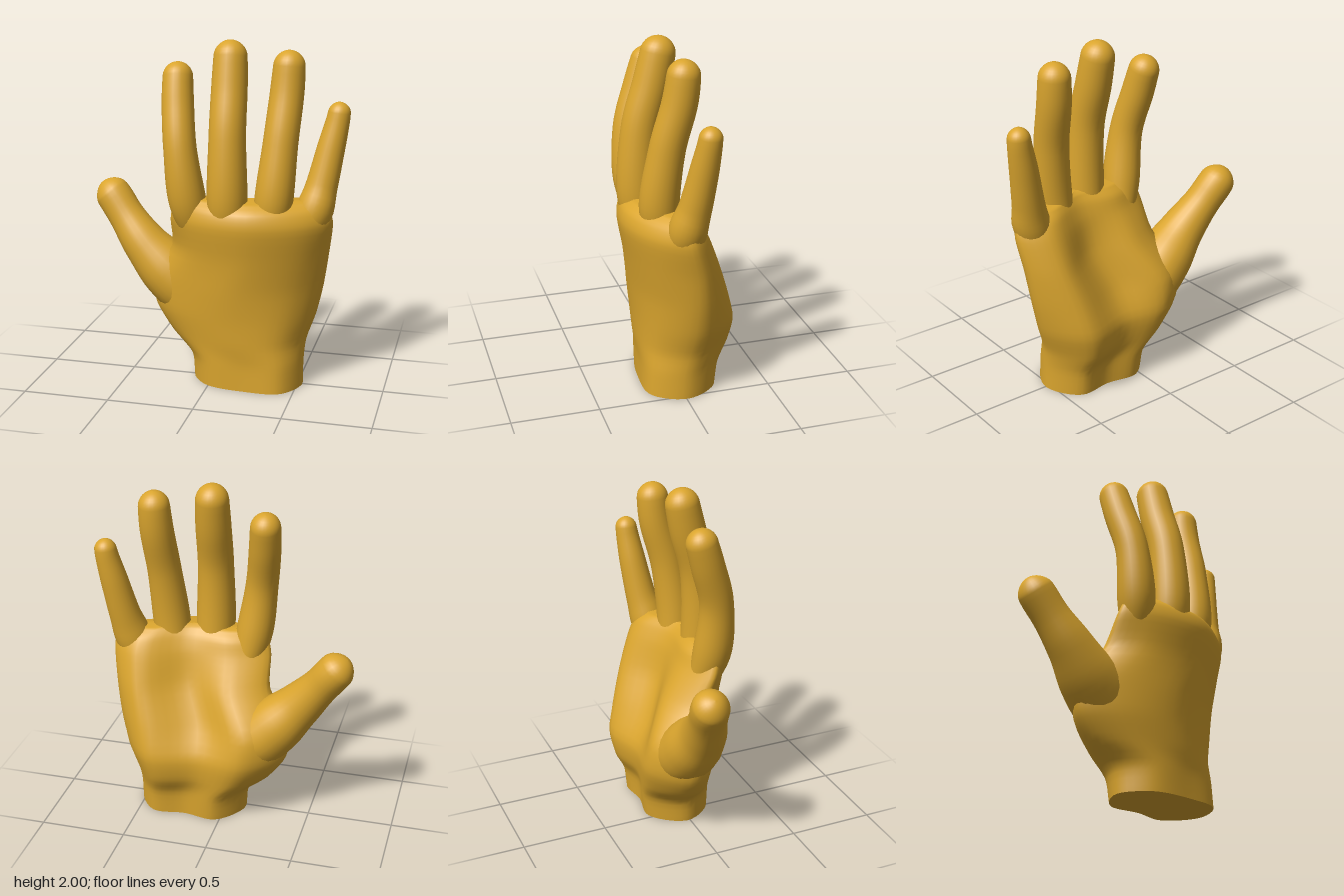
import * as THREE from 'three';

const V = (x, y, z) => new THREE.Vector3(x, y, z);

// Skin a list of closed rings (counter-clockwise about the direction of travel)
function loft(rings) {
  const n = rings[0].length, pos = [], idx = [];
  rings.forEach(r => r.forEach(p => pos.push(p.x, p.y, p.z)));
  for (let i = 0; i < rings.length - 1; i++) {
    for (let j = 0; j < n; j++) {
      const k = (j + 1) % n;
      const a = i * n + j, b = i * n + k, c = a + n, d = b + n;
      idx.push(a, b, d, a, d, c);
    }
  }
  const g = new THREE.BufferGeometry();
  g.setAttribute('position', new THREE.Float32BufferAttribute(pos, 3));
  g.setIndex(idx);
  g.computeVertexNormals();
  return g;
}

// Ring shrunk to its own centre
function collapsed(ring, lift = 0) {
  const c = V(0, 0, 0);
  ring.forEach(p => c.add(p));
  c.divideScalar(ring.length).y += lift;
  return ring.map(() => c.clone());
}

// Tapered finger with a rounded tip; each stop is [x, y, z, radius], depth scales it front to back
function finger(stops, depth = 1) {
  const path = new THREE.CatmullRomCurve3(stops.map(s => V(s[0], s[1], s[2])), false, 'catmullrom', 0.5);
  const radii = new THREE.CatmullRomCurve3(stops.map(s => V(s[3], 0, 0)), false, 'catmullrom', 0.4);
  const length = path.getLength(), tipR = stops[stops.length - 1][3];
  const rings = [], distances = [];
  for (let i = 0; i < 24; i++) distances.push((length - tipR) * i / 24);
  for (let i = 0; i <= 8; i++) distances.push(length - tipR * (1 - Math.sin(i / 8 * Math.PI / 2)));
  for (const d of distances) {
    const u = Math.min(1, d / length), t = path.getUtoTmapping(u);
    const p = path.getPoint(t), tan = path.getTangent(t);
    const side = tan.clone().cross(V(0, 0, 1)).normalize();
    const back = side.clone().cross(tan);
    const past = Math.max(0, 1 - (length - d) / tipR);
    const r = radii.getPoint(t).x * Math.sqrt(Math.max(0, 1 - past * past));
    const ring = [];
    for (let j = 0; j < 24; j++) {
      const a = j / 24 * Math.PI * 2;
      ring.push(p.clone().addScaledVector(side, r * Math.cos(a)).addScaledVector(back, -r * depth * Math.sin(a)));
    }
    rings.push(ring);
  }
  return loft(rings);
}

// Palm sections: y, thumb-side x z, little-finger-side x z, three back z, three palm z
const SECTIONS = [
  [0.00, -0.12, -0.02, 0.53, -0.01, 0.15, 0.20, 0.18, -0.20, -0.19, -0.21],
  [0.15, -0.14, -0.03, 0.53, -0.02, 0.15, 0.20, 0.17, -0.22, -0.20, -0.23],
  [0.27, -0.27, -0.06, 0.54, -0.05, 0.11, 0.21, 0.16, -0.28, -0.24, -0.25],
  [0.42, -0.37, -0.07, 0.59, -0.07, 0.10, 0.22, 0.15, -0.305, -0.245, -0.275],
  [0.60, -0.38, -0.06, 0.63, -0.07, 0.11, 0.24, 0.145, -0.26, -0.15, -0.25],
  [0.80, -0.25, 0.00, 0.66, -0.05, 0.18, 0.265, 0.155, -0.19, -0.06, -0.13],
  [0.98, -0.235, 0.09, 0.685, 0.00, 0.225, 0.295, 0.175, -0.12, -0.01, -0.02],
  [1.07, -0.21, 0.12, 0.665, 0.02, 0.215, 0.275, 0.15, -0.07, 0.03, 0.02],
  [1.12, -0.16, 0.13, 0.60, 0.04, 0.18, 0.215, 0.11, -0.01, 0.07, 0.07],
];

function palmRings() {
  const outline = s => {
    const [y, xl, zl, xr, zr, b1, b2, b3, p3, p2, p1] = s;
    const x = f => xl + (xr - xl) * f;
    return [V(xl, y, zl), V(x(0.16), y, b1), V(x(0.52), y, b2), V(x(0.85), y, b3),
      V(xr, y, zr), V(x(0.82), y, p3), V(x(0.52), y, p2), V(x(0.22), y, p1)];
  };
  const corners = SECTIONS.map(outline);
  // Smooth each corner line upwards, then each ring around
  const rails = corners[0].map((_, k) => new THREE.CatmullRomCurve3(corners.map(c => c[k]), false, 'catmullrom', 0.4));
  const rings = [], steps = (SECTIONS.length - 1) * 4;
  for (let i = 0; i <= steps; i++) {
    const loop = new THREE.CatmullRomCurve3(rails.map(r => r.getPoint(i / steps)), true, 'centripetal');
    rings.push(loop.getPoints(48).slice(0, 48));
  }
  return rings;
}

export function createModel() {
  const hand = new THREE.Group();
  hand.name = 'hand';
  const skin = new THREE.MeshStandardMaterial({ color: 0xdaa52e });
  skin.name = 'golden skin';
  const add = (name, geometry) => {
    const m = new THREE.Mesh(geometry, skin);
    m.name = name;
    hand.add(m);
  };

  // Palm with closed top, and the flat cut of the wrist
  const rings = palmRings();
  const top = rings[rings.length - 1];
  add('palm', loft([...rings, collapsed(top, 0.01)]));
  add('wristCut', loft([collapsed(rings[0]), rings[0]]));

  // Four fingers, rooted inside the palm
  add('indexFinger', finger([
    [-0.07, 0.85, 0.07, 0.07], [-0.125, 1.1, 0.13, 0.106], [-0.165, 1.4, 0.135, 0.093],
    [-0.195, 1.65, 0.065, 0.09], [-0.21, 1.865, 0.0, 0.082]], 1.05));
  add('middleFinger', finger([
    [0.12, 0.85, 0.10, 0.08], [0.115, 1.1, 0.165, 0.113], [0.11, 1.48, 0.15, 0.103],
    [0.105, 1.75, 0.08, 0.1], [0.10, 2.0, 0.025, 0.09]], 1.04));
  add('ringFinger', finger([
    [0.33, 0.85, 0.05, 0.07], [0.365, 1.1, 0.115, 0.108], [0.395, 1.45, 0.08, 0.098],
    [0.415, 1.72, 0.015, 0.095], [0.425, 1.95, -0.01, 0.085]], 1.02));
  add('littleFinger', finger([
    [0.49, 0.82, 0.01, 0.06], [0.575, 1.04, 0.02, 0.105], [0.615, 1.2, -0.01, 0.09],
    [0.655, 1.4, -0.04, 0.079], [0.69, 1.57, -0.06, 0.066], [0.7, 1.665, -0.065, 0.058]]));

  // Thumb, swelling out of the ball of the palm
  add('thumb', finger([
    [0.02, 0.36, -0.08, 0.08], [-0.16, 0.49, -0.075, 0.165], [-0.30, 0.62, -0.065, 0.168],
    [-0.44, 0.77, -0.065, 0.132], [-0.56, 0.92, -0.095, 0.107], [-0.645, 1.035, -0.12, 0.106],
    [-0.715, 1.115, -0.125, 0.09]]));

  return hand;
}
